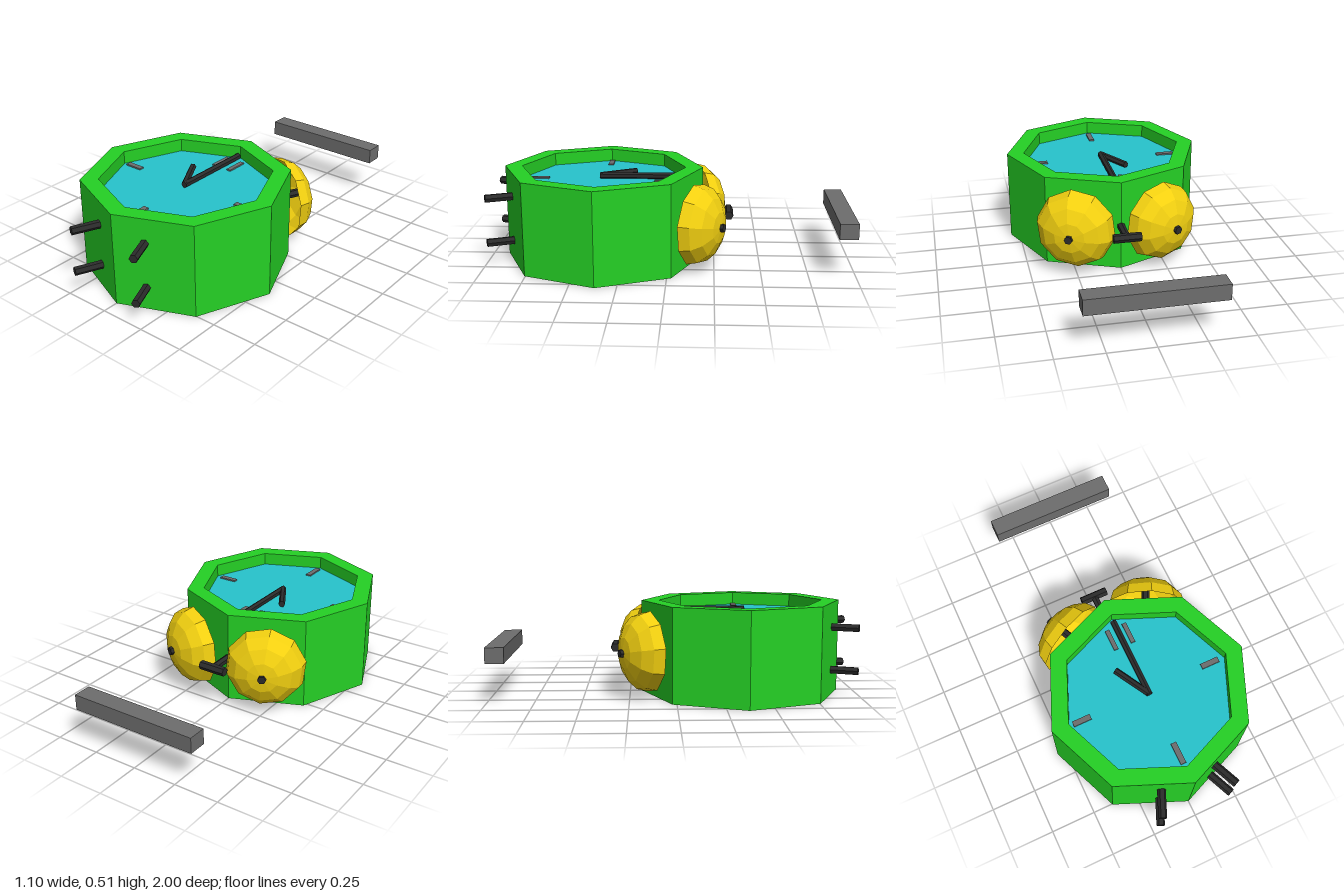
import * as THREE from 'three';

const mat = (color, side = THREE.FrontSide) =>
  new THREE.MeshStandardMaterial({ color, flatShading: true, side });

export function createModel() {
  const clock = new THREE.Group();
  clock.name = 'alarmClock';
  const green = mat(0x25d025), blue = mat(0x27c3cc), grey = mat(0x6d6d6d), black = mat(0x2b2b2b);
  const gold = mat(0xf2d010, THREE.DoubleSide);
  const CZ = 0.365, R = 0.55, INNER = 0.455, H = 0.51, FACE_Y = 0.44, MID = 0.255;

  const add = (name, geometry, material, x = 0, y = 0, z = 0) => {
    const mesh = new THREE.Mesh(geometry, material);
    mesh.name = name;
    mesh.position.set(x, y, z);
    clock.add(mesh);
    return mesh;
  };

  // Six-sided rod between two points
  const rod = (name, from, to, radius, material = black) => {
    const a = new THREE.Vector3(...from), b = new THREE.Vector3(...to);
    const dir = b.clone().sub(a);
    const mesh = add(name, new THREE.CylinderGeometry(radius, radius, dir.length(), 6), material);
    mesh.position.copy(a).add(b).multiplyScalar(0.5);
    mesh.quaternion.setFromUnitVectors(new THREE.Vector3(0, 1, 0), dir.normalize());
    return mesh;
  };

  // Octagonal case lying on its back, with a raised rim round the dial
  const profile = [[0, 0], [R, 0], [R, H], [INNER, H], [INNER, FACE_Y - 0.01]]
    .map(([x, y]) => new THREE.Vector2(x, y));
  add('case', new THREE.LatheGeometry(profile, 8), green, 0, 0, CZ);
  add('dial', new THREE.CylinderGeometry(INNER, INNER, 0.02, 8), blue, 0, FACE_Y - 0.01, CZ);

  // Plain hour marks, doubled at the top
  for (const [x, z, w, d] of [
    [-0.05, 0.02, 0.025, 0.12], [0.05, 0.02, 0.025, 0.12],
    [0.37, 0.36, 0.1, 0.03], [0, 0.73, 0.03, 0.12], [-0.38, 0.36, 0.1, 0.03],
  ]) add('hourMark', new THREE.BoxGeometry(w, 0.01, d), grey, x, FACE_Y + 0.003, z);

  // Hands
  rod('minuteHand', [0, 0.46, 0.385], [0, 0.46, -0.07], 0.018);
  rod('hourHand', [0, 0.46, 0.38], [-0.108, 0.46, 0.19], 0.018);

  // Feet, in two pairs
  for (const s of [-1, 1])
    for (const y of [s < 0 ? 0.14 : 0.125, 0.375])
      rod('foot', [s * 0.145, y, 0.83], [s * 0.213, y, 0.988], 0.023);

  // Flattened dome bells on pins
  for (const s of [-1, 1]) {
    const x = s < 0 ? -0.22 : 0.241, z = -0.148;
    const out = new THREE.Vector3(s * 0.42, 0, -0.907).normalize();
    const dome = new THREE.SphereGeometry(0.222, 10, 4, 0, Math.PI * 2, 0, Math.PI / 2);
    dome.scale(1, 0.7, 1);
    const bell = add('bell', dome, gold, x, MID, z);
    bell.quaternion.setFromUnitVectors(new THREE.Vector3(0, 1, 0), out);
    rod('bellPin', [x - out.x * 0.12, MID, z - out.z * 0.12],
      [x + out.x * 0.17, MID, z + out.z * 0.17], 0.023);
  }

  // Hammer between the bells
  rod('hammerStem', [0, MID, -0.14], [0, MID, -0.33], 0.021);
  rod('hammerHead', [-0.078, MID, -0.33], [0.075, MID, -0.33], 0.025);

  // Separate bar behind the bells
  add('handleBar', new THREE.BoxGeometry(0.715, 0.085, 0.1), grey, 0.002, 0.257, -0.95);

  return clock;
}
